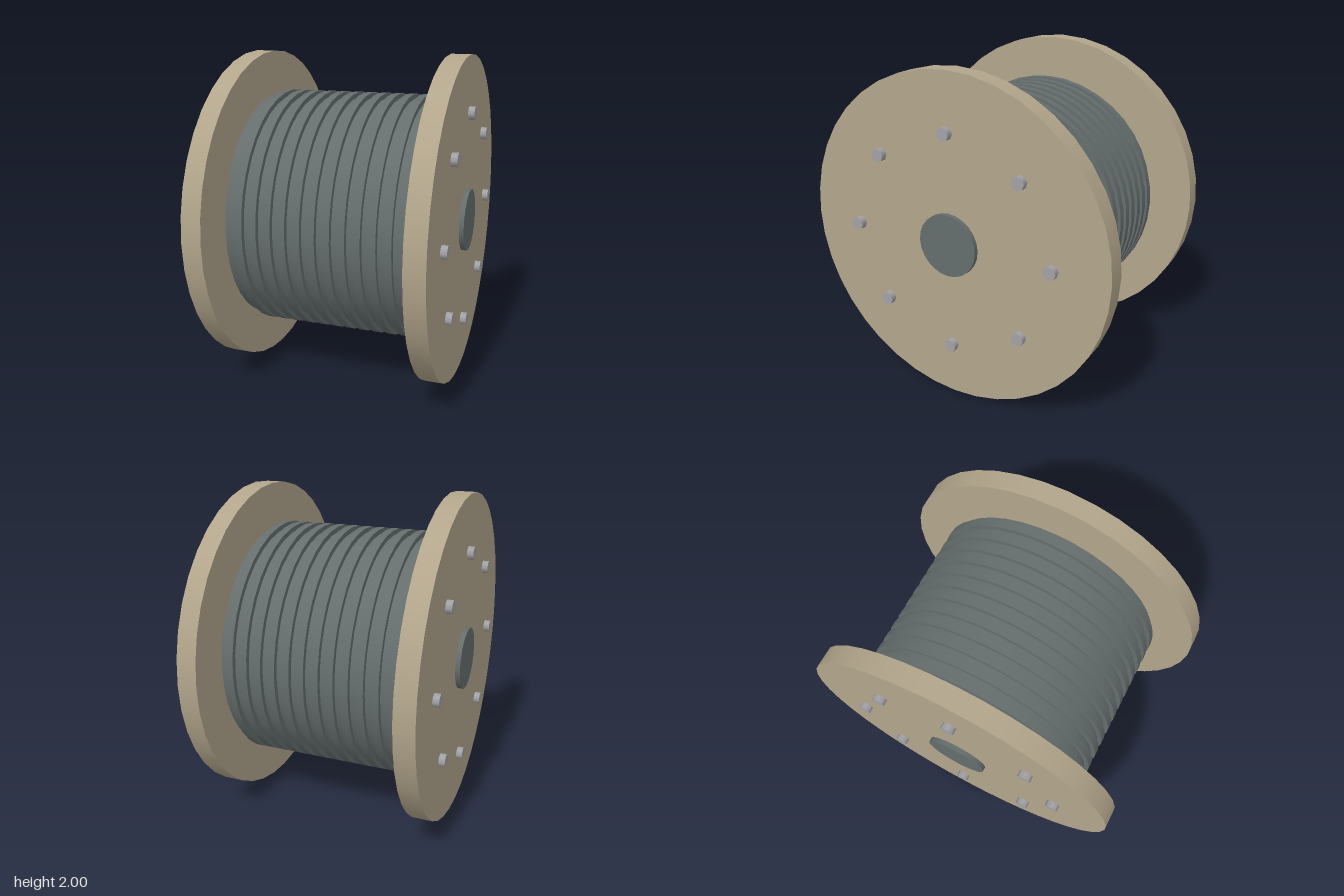
import * as THREE from 'three';

export function createModel() {
  const wood = new THREE.MeshStandardMaterial({ color: 0xb2a58b });
  wood.name = 'wood';
  const cable = new THREE.MeshStandardMaterial({ color: 0x656d6d });
  cable.name = 'darkCable';
  const metal = new THREE.MeshStandardMaterial({ color: 0xa2a2a6 });
  metal.name = 'boltMetal';

  const spool = new THREE.Group();
  spool.name = 'cableSpool';
  spool.position.y = 1;

  // Cylinder lying along x, spanning x0 to x1
  function disc(name, radius, x0, x1, sides, material, y = 0, z = 0) {
    const geometry = new THREE.CylinderGeometry(radius, radius, x1 - x0, sides);
    geometry.rotateZ(-Math.PI / 2);
    const mesh = new THREE.Mesh(geometry, material);
    mesh.name = name;
    mesh.position.set((x0 + x1) / 2, y, z);
    spool.add(mesh);
  }

  // Wound core with raised cable turns
  disc('cableCore', 0.726, -0.575, 0.575, 40, cable);
  for (let i = 0; i < 12; i++) {
    const x = -0.475 + i * 0.0892;
    disc('cableTurn', 0.756, x - 0.024, x + 0.024, 40, cable);
  }

  // Flanges, axle caps and bolt rings, mirrored on both ends
  for (const [side, label] of [[1, 'left'], [-1, 'right']]) {
    const slab = (name, radius, a, b, sides, material, y, z) =>
      disc(label + name, radius, Math.min(side * a, side * b), Math.max(side * a, side * b), sides, material, y, z);
    slab('Flange', 1, 0.57, 0.692, 40, wood);
    slab('AxleCap', 0.19, 0.68, 0.721, 24, cable);
    for (let i = 0; i < 8; i++) {
      const angle = (i * Math.PI) / 4;
      slab('Bolt', 0.04, 0.68, 0.73, 8, metal, 0.658 * Math.cos(angle), 0.658 * Math.sin(angle));
    }
  }

  const model = new THREE.Group();
  model.name = 'spoolModel';
  model.add(spool);
  return model;
}
